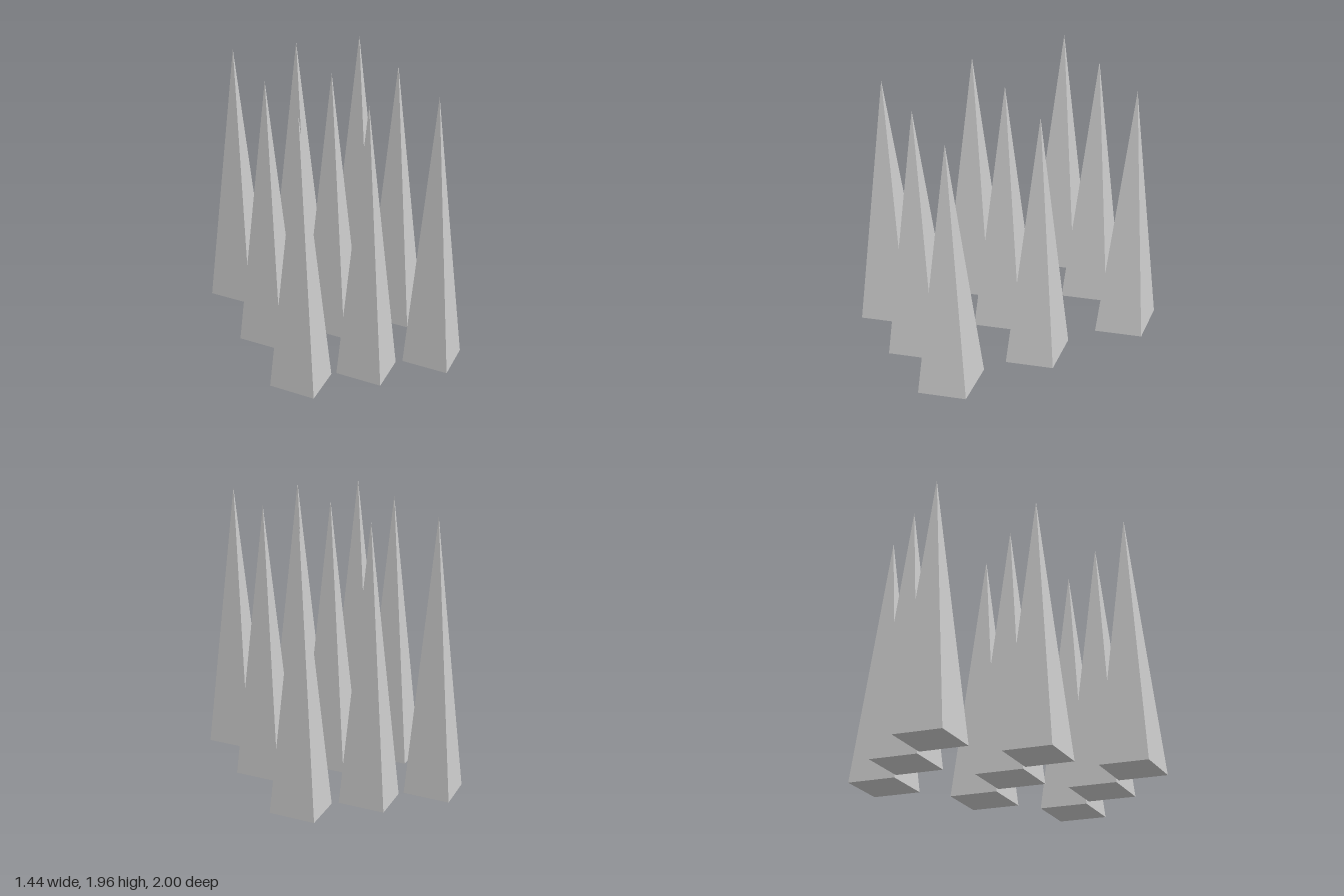
import * as THREE from 'three';

const HEIGHT = 1.96;
const HALF_WIDTH = 0.225;
const HALF_DEPTH = 0.264;

export function createModel() {
  const model = new THREE.Group();
  model.name = 'spikeField';

  const material = new THREE.MeshStandardMaterial({ color: 0xcccccc, flatShading: true });

  // One four-sided spike with a diamond footprint, standing on y = 0
  const spikeGeometry = new THREE.ConeGeometry(1, HEIGHT, 4);
  spikeGeometry.scale(HALF_WIDTH, 1, HALF_DEPTH);
  spikeGeometry.translate(0, HEIGHT / 2, 0);

  // Three columns by three rows; the last column sits slightly forward
  const columns = [
    { x: -0.493, shift: 0 },
    { x: -0.006, shift: 0 },
    { x: 0.493, shift: 0.005 },
  ];
  const rows = [-0.736, 0.025, 0.731];

  columns.forEach(({ x, shift }, c) => {
    rows.forEach((z, r) => {
      const spike = new THREE.Mesh(spikeGeometry, material);
      spike.name = `spike_${c + 1}_${r + 1}`;
      spike.position.set(x, 0, z + shift);
      model.add(spike);
    });
  });

  return model;
}
